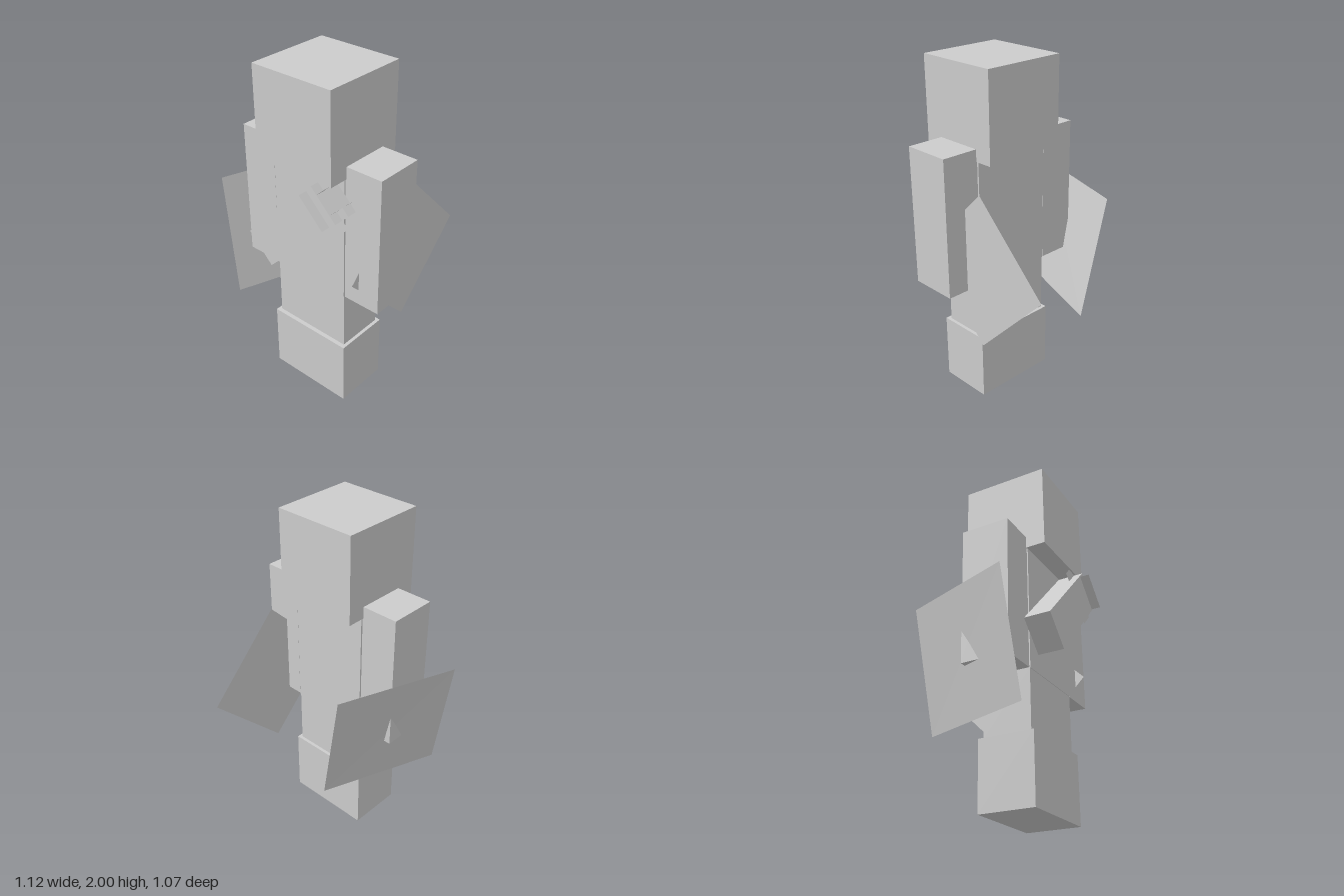
import * as THREE from 'three';

export function createModel() {
  const model = new THREE.Group();
  const grey = new THREE.MeshStandardMaterial({ color: 0xcccccc, side: THREE.DoubleSide });
  grey.name = 'light grey';

  const add = (parent, name, geometry) => {
    const mesh = new THREE.Mesh(geometry, grey);
    mesh.name = name;
    parent.add(mesh);
    return mesh;
  };

  // Box given by its lower and upper corners
  const block = (name, [x0, y0, z0], [x1, y1, z1]) => {
    add(model, name, new THREE.BoxGeometry(x1 - x0, y1 - y0, z1 - z0))
      .position.set((x0 + x1) / 2, (y0 + y1) / 2, (z0 + z1) / 2);
  };

  // Flat four-cornered sheet
  const sheet = (parent, name, a, b, c, d) => {
    const g = new THREE.BufferGeometry();
    g.setAttribute('position', new THREE.Float32BufferAttribute([...a, ...b, ...c, ...a, ...c, ...d], 3));
    g.computeVertexNormals();
    return add(parent, name, g);
  };

  // Body
  block('head', [-0.17, 1.49, -0.07], [0.34, 2, 0.44]);
  block('torso', [-0.16, 0.75, 0.034], [0.33, 1.49, 0.328]);
  block('waist', [-0.16, 0.4, 0.04], [0.33, 0.75, 0.325]);
  block('legs', [-0.18, 0, 0.02], [0.35, 0.4, 0.35]);
  block('rightArm', [-0.39, 0.75, 0.038], [-0.165, 1.56, 0.324]);
  block('leftArm', [0.335, 0.75, 0.038], [0.56, 1.56, 0.324]);

  // Side panels: a tilted square and an upright diamond
  sheet(model, 'rightPanel',
    [-0.56, 1.18, 0.37], [-0.43, 0.455, 0.415], [-0.174, 0.46, -0.278], [-0.32, 1.19, -0.32]);
  sheet(model, 'leftPanel',
    [0.43, 1.36, -0.08], [0.43, 0.9, 0.38], [0.43, 0.44, -0.08], [0.43, 0.9, -0.535]);

  // Bar slung across the chest, running along its own x axis
  const bar = new THREE.Group();
  bar.name = 'chestBar';
  bar.position.set(0.0925, 1.173, 0.405);
  bar.rotation.z = Math.PI / 4;
  model.add(bar);
  add(bar, 'bar', new THREE.BoxGeometry(0.66, 0.224, 0.156));

  // Small fins around the upper end of the bar
  sheet(bar, 'frontFin', [0.28, -0.106, 0.078], [0.28, 0.106, 0.078], [0.28, 0.106, 0.132], [0.28, -0.106, 0.132]);
  for (const s of [-1, 1]) {
    sheet(bar, 'sideFin',
      [0.22, s * 0.112, 0.025], [0.33, s * 0.112, 0.025], [0.33, s * 0.165, 0.025], [0.22, s * 0.165, 0.025]);
    sheet(bar, 'endFin',
      [0.33, s * 0.06, 0.025], [0.383, s * 0.06, 0.025], [0.383, s * 0.112, 0.025], [0.33, s * 0.112, 0.025]);
  }
  for (const [y, z0, z1] of [[-0.06, 0.025, 0.078], [-0.06, -0.078, -0.03], [0.06, 0.025, 0.078]]) {
    sheet(bar, 'endFinWall', [0.33, y, z0], [0.383, y, z0], [0.383, y, z1], [0.33, y, z1]);
  }

  return model;
}
